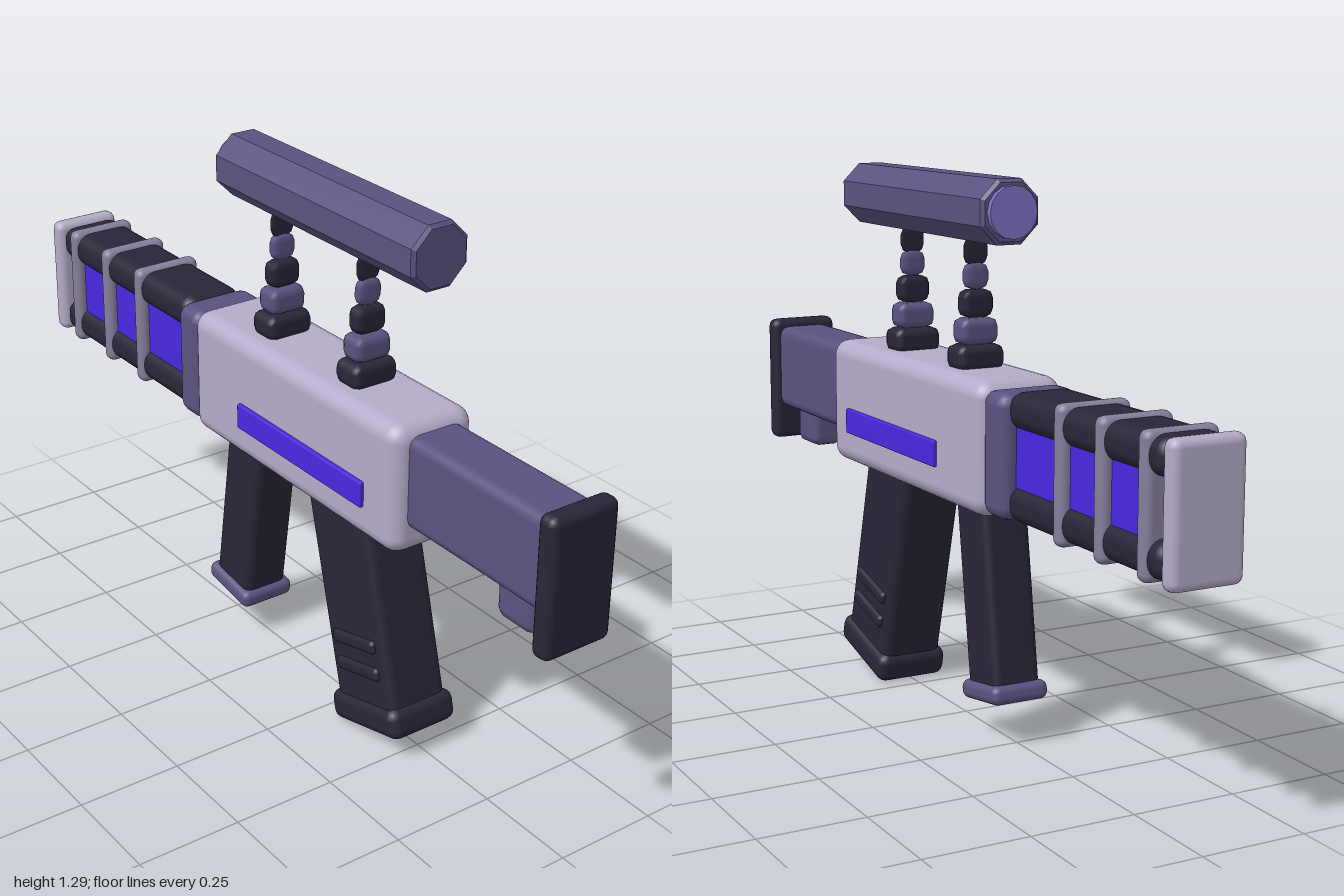
import * as THREE from 'three';
import { RoundedBoxGeometry } from 'three/addons/geometries/RoundedBoxGeometry.js';

const paint = (color) => new THREE.MeshStandardMaterial({ color });
const light = paint(0xb5abc9), violet = paint(0x5a5280), dark = paint(0x292538);
const grey = paint(0x857f9c), glow = paint(0x4a28e0), lensBlue = paint(0x7f70c4);

// Rounded box centred at (x, y, z)
function block(parent, name, mat, [w, h, d], [x, y, z], r = 0.02, seg = 2) {
  const mesh = new THREE.Mesh(new RoundedBoxGeometry(w, h, d, seg, r), mat);
  mesh.name = name;
  mesh.position.set(x, y, z);
  parent.add(mesh);
  return mesh;
}

// Leaning grip whose origin is the middle of its foot
function grip(parent, name, y, z, tilt) {
  const g = new THREE.Group();
  g.name = name;
  g.position.set(0, y, z);
  g.rotation.x = tilt;
  parent.add(g);
  return g;
}

// Octagonal tube along z with chamfered ends
function scopeGeometry() {
  const c = 1 / Math.cos(Math.PI / 8), half = 0.3675, R = 0.0735 * c, r = 0.0655 * c;
  const profile = [[0, -half], [r, -half], [R, -half + 0.008], [R, half - 0.008], [r, half], [0, half]]
    .map(([a, b]) => new THREE.Vector2(a, b));
  const geo = new THREE.LatheGeometry(profile, 8, Math.PI / 8).toNonIndexed();
  geo.computeVertexNormals();
  return geo.rotateX(Math.PI / 2);
}

export function createModel() {
  const model = new THREE.Group();
  model.name = 'blaster';

  // Stock
  block(model, 'buttPlate', dark, [0.18, 0.33, 0.052], [0, 0.685, 0.974], 0.02);
  block(model, 'stock', violet, [0.145, 0.22, 0.48], [0, 0.72, 0.74], 0.025);
  block(model, 'stockLug', violet, [0.09, 0.11, 0.12], [0, 0.575, 0.85], 0.022, 1);

  // Receiver with a glowing strip through both sides
  block(model, 'receiver', light, [0.22, 0.31, 0.8], [0, 0.7, 0.13], 0.04, 3);
  block(model, 'glowStrip', glow, [0.24, 0.062, 0.482], [0, 0.66, 0.18], 0.004, 1);

  // Barrel: collar, energy core, two rails, rings and end plate
  block(model, 'barrelCollar', violet, [0.2, 0.285, 0.1], [0, 0.698, -0.305], 0.03);
  block(model, 'energyCore', glow, [0.13, 0.16, 0.56], [0, 0.7, -0.6], 0.006, 1);
  for (const [name, y] of [['upperRail', 0.804], ['lowerRail', 0.596]]) {
    block(model, name, dark, [0.162, 0.084, 0.63], [0, y, -0.645], 0.035, 3);
  }
  for (const z of [-0.563, -0.724, -0.886]) {
    block(model, 'barrelRing', grey, [0.176, 0.308, 0.042], [0, 0.7, z], 0.018);
  }
  block(model, 'endPlate', light, [0.176, 0.305, 0.047], [0, 0.7, -0.976], 0.02);

  // Rear grip with ribs on its sides
  const rear = grip(model, 'rearGrip', 0.064, 0.405, -0.26);
  block(rear, 'rearGripHandle', dark, [0.16, 0.55, 0.222], [0, 0.28, 0], 0.025);
  block(rear, 'rearGripFoot', dark, [0.185, 0.075, 0.25], [0, 0, 0], 0.025);
  for (const y of [0.183, 0.116]) {
    block(rear, 'gripRib', dark, [0.18, 0.034, 0.16], [0, y, 0.002], 0.012);
  }

  // Front grip
  const fore = grip(model, 'frontGrip', 0.115, -0.19, 0.148);
  block(fore, 'frontGripHandle', dark, [0.12, 0.48, 0.14], [0, 0.245, 0], 0.02);
  block(fore, 'frontGripFoot', violet, [0.145, 0.045, 0.17], [0, 0, 0], 0.018);

  // Scope mounts: stacked links that get flatter toward the top
  const links = [ // height, width, depth, middle height
    [0.06, 0.12, 0.086, 0.878], [0.062, 0.097, 0.066, 0.938], [0.064, 0.08, 0.044, 1.002],
    [0.06, 0.06, 0.028, 1.065], [0.064, 0.06, 0.01, 1.122],
  ];
  for (const z of [0.28, -0.045]) {
    const mount = new THREE.Group();
    mount.name = 'scopeMount';
    links.forEach(([h, w, d, y], i) => {
      const link = block(mount, 'mountLink', i % 2 ? violet : dark, [w, h, 0.08], [0, y, z], 0.02, 1);
      link.scale.z = d / 0.08;
    });
    model.add(mount);
  }

  // Scope and rear lens
  const scope = new THREE.Mesh(scopeGeometry(), violet);
  scope.name = 'scope';
  scope.position.set(0, 1.222, 0.157);
  const lens = new THREE.Mesh(new THREE.CylinderGeometry(0.06, 0.06, 0.03, 16).rotateX(Math.PI / 2), lensBlue);
  lens.name = 'scopeLens';
  lens.position.set(0, 1.222, -0.21);
  model.add(scope, lens);

  return model;
}
